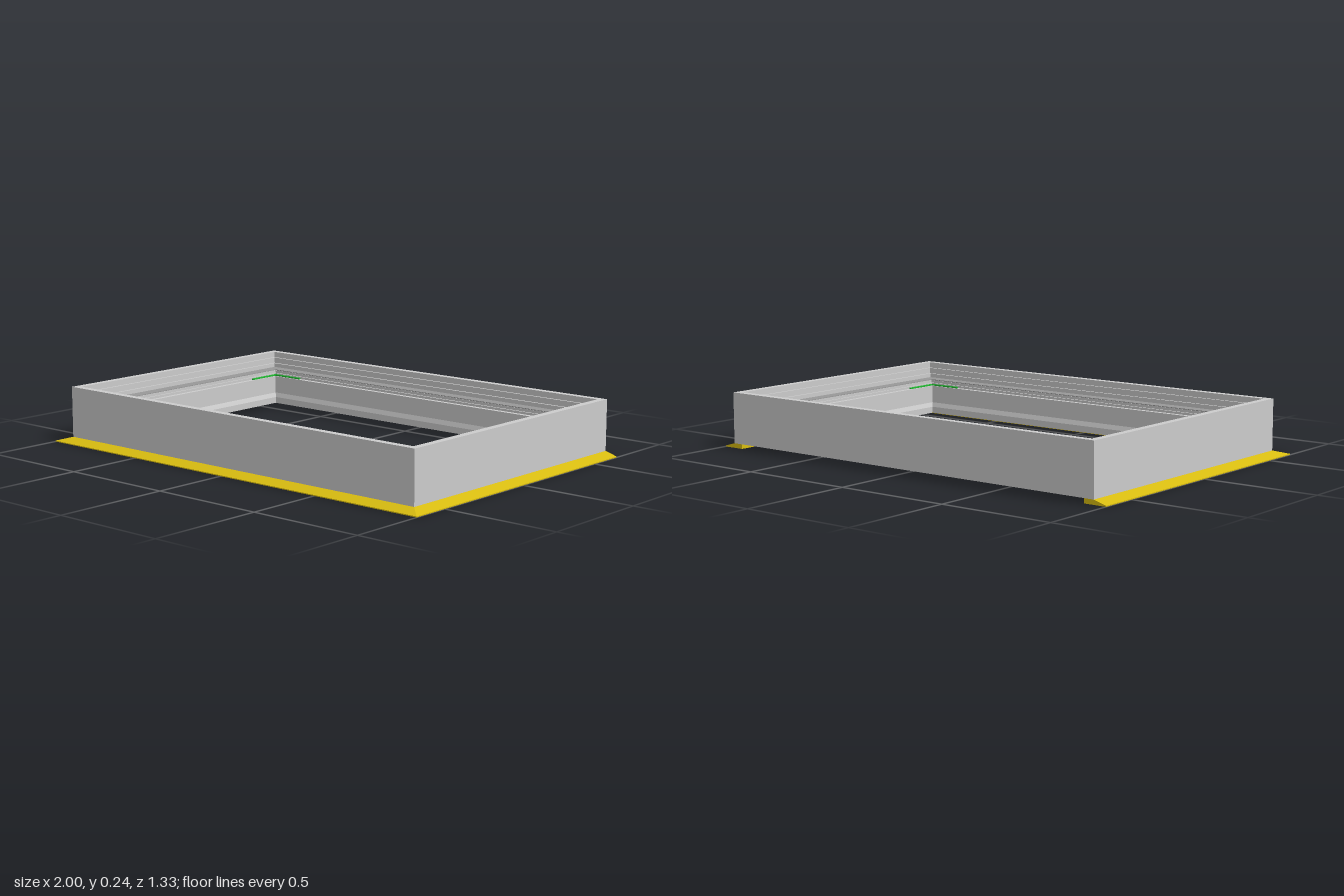
import * as THREE from 'three';

const X = 0.945, Z_BACK = -0.665, Z_FRONT = 0.613;

// Rectangle of corners, inset by d from the outer wall of the frame
const ring = d => [
  [-X + d, Z_BACK + d], [-X + d, Z_FRONT - d], [X - d, Z_FRONT - d], [X - d, Z_BACK + d],
];
// Three-sided path: left, front and right, cut square at the back
const threeSides = d => [
  [-X + d, Z_BACK], [-X + d, Z_FRONT - d], [X - d, Z_FRONT - d], [X - d, Z_BACK],
];

// Sweeps a closed profile of [inset, y] points round the path with mitred corners
function sweep(name, profile, path, closed, color) {
  const pos = [];
  const at = (corner, [d, y]) => {
    const [x, z] = path(d)[corner];
    return [x, y, z];
  };
  const tri = (a, b, c) => pos.push(...a, ...b, ...c);
  const sides = closed ? 4 : 3;
  for (let i = 0; i < sides; i++) {
    const n = (i + 1) % 4;
    profile.forEach((p, j) => {
      const q = profile[(j + 1) % profile.length];
      tri(at(i, p), at(n, p), at(n, q));
      tri(at(i, p), at(n, q), at(i, q));
    });
  }
  // End caps of an open sweep (convex profile)
  if (!closed) {
    for (let j = 1; j < profile.length - 1; j++) {
      tri(at(0, profile[0]), at(0, profile[j]), at(0, profile[j + 1]));
      tri(at(3, profile[0]), at(3, profile[j + 1]), at(3, profile[j]));
    }
  }
  const geo = new THREE.BufferGeometry();
  geo.setAttribute('position', new THREE.Float32BufferAttribute(pos, 3));
  geo.computeVertexNormals();
  const mesh = new THREE.Mesh(geo, new THREE.MeshStandardMaterial({ color, flatShading: true }));
  mesh.name = name;
  return mesh;
}

export function createModel() {
  const group = new THREE.Group();
  group.name = 'windowFrame';

  // Main frame: outer wall, rim, stepped rebate, inner wall, grooved underside
  group.add(sweep('frame', [
    [0, 0.02], [0, 0.24], [0.03, 0.24], [0.03, 0.215], [0.04, 0.215], [0.04, 0.19],
    [0.05, 0.19], [0.05, 0.17], [0.105, 0.17], [0.105, 0.158], [0.113, 0.158],
    [0.113, 0.148], [0.132, 0.148], [0.132, 0.07], [0.14, 0.05], [0.14, 0.022],
    [0.115, 0.022], [0.115, 0.03], [0.1, 0.03], [0.1, 0.02], [0.075, 0.02],
    [0.075, 0.03], [0.06, 0.03], [0.06, 0.02],
  ], ring, true, 0xcccccc));

  // Darker lining on the rebate ledge
  group.add(sweep('rebateLining', [
    [0.052, 0.168], [0.052, 0.173], [0.103, 0.173], [0.103, 0.168],
  ], ring, true, 0x999999));

  // Sloped skirt on three sides, running in under the frame
  group.add(sweep('skirt', [
    [-0.055, 0], [-0.055, 0.004], [0, 0.02], [0.045, 0.02], [0.045, 0],
  ], threeSides, false, 0xd9bd10));

  // Corner pads: an L of two strips in each inner corner
  const padMaterial = new THREE.MeshStandardMaterial({ color: 0x22bb33 });
  const inset = 0.12, length = 0.155, width = 0.01;
  ring(inset).forEach(([x, z], i) => {
    const sx = -Math.sign(x), sz = i === 0 || i === 3 ? 1 : -1;
    const inward = z < 0 ? 1 : -1;
    const pad = new THREE.Group();
    pad.name = 'cornerPad' + (i + 1);
    const along = new THREE.Mesh(new THREE.BoxGeometry(length, 0.008, width), padMaterial);
    along.name = 'longSideStrip';
    along.position.set(x + sx * length / 2, 0.15, z);
    const across = new THREE.Mesh(new THREE.BoxGeometry(width, 0.008, length), padMaterial);
    across.name = 'shortSideStrip';
    across.position.set(x, 0.15, z + inward * length / 2);
    pad.add(along, across);
    group.add(pad);
  });

  return group;
}
